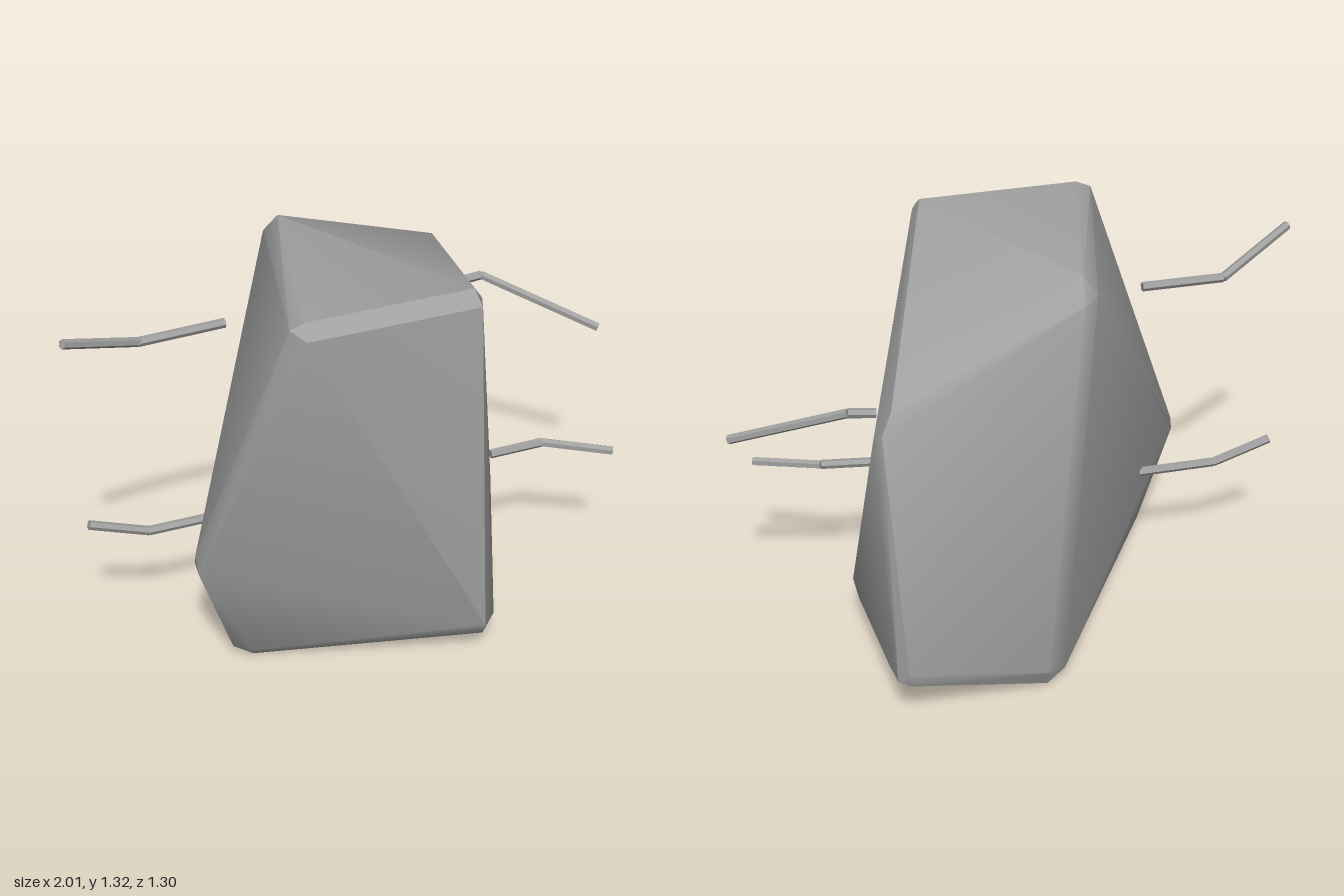
import * as THREE from 'three';
import { ConvexGeometry } from 'three/addons/geometries/ConvexGeometry.js';
import { toCreasedNormals } from 'three/addons/utils/BufferGeometryUtils.js';

const stone = new THREE.MeshStandardMaterial({ name: 'stone grey', color: 0xa0a0a0 });

// Each corner of the boulder is a small cluster of points, which bevels it.
const corners = {
  topFrontRight: [[-0.36, 1.32, 0.47], [-0.38, 1.28, 0.52], [-0.41, 1.3, 0.46]],
  topFrontLeft: [[0.2, 1.32, 0.495], [0.2, 1.28, 0.55], [0.225, 1.285, 0.5]],
  topBack: [[-0.12, 1.32, -0.26], [-0.1, 1.25, -0.335], [-0.16, 1.26, -0.29]],
  backLeftShoulder: [[0.56, 1.04, -0.43], [0.6, 0.98, -0.465], [0.62, 0.95, -0.43]],
  backLeftFoot: [[0.59, 0.21, -0.655], [0.62, 0.18, -0.63], [0.585, 0.16, -0.64]],
  leftFoot: [[0.62, 0.2, -0.05], [0.61, 0.14, -0.08]],
  leftBase: [[0.57, 0.01, -0.31], [0.54, 0.003, -0.3]],
  backBase: [[0.1, 0.07, -0.6], [0.1, 0.01, -0.575], [0.03, 0.04, -0.55]],
  frontFoot: [[0.2, 0.14, 0.65], [0.22, 0.07, 0.6], [0.26, 0.14, 0.6]],
  rightBase: [[-0.48, 0, 0.28], [-0.54, 0.03, 0.25], [-0.5, 0.03, 0.3]],
  rightPoint: [[-0.67, 0.39, 0.3], [-0.66, 0.44, 0.25], [-0.66, 0.4, 0.24]],
};

// Bent rods: inner end, kink, outer end.
const rods = {
  upperRightRod: [[-0.43, 1.115, 0.005], [-0.72, 1.11, -0.005], [-1, 1.22, 0.1]],
  lowerRightRod: [[-0.43, 0.39, 0.005], [-0.72, 0.39, -0.015], [-0.92, 0.46, -0.035]],
  upperLeftRod: [[0.56, 0.935, -0.235], [0.65, 0.945, -0.225], [0.99, 0.775, 0.025]],
  lowerLeftRod: [[0.46, 0.49, 0.205], [0.65, 0.5, 0.23], [0.86, 0.48, 0.36]],
};

// Straight six-sided bar between two points
function bar(a, b, radius = 0.016) {
  const dir = b.clone().sub(a);
  const geo = toCreasedNormals(new THREE.CylinderGeometry(radius, radius, dir.length(), 6), 0.5);
  const mesh = new THREE.Mesh(geo, stone);
  mesh.position.copy(a).add(b).multiplyScalar(0.5);
  mesh.quaternion.setFromUnitVectors(new THREE.Vector3(0, 1, 0), dir.normalize());
  return mesh;
}

export function createModel() {
  const model = new THREE.Group();
  model.name = 'boulderWithRods';

  // Faceted boulder body, soft across shallow edges
  const points = Object.values(corners).flat().map((p) => new THREE.Vector3(...p));
  const boulder = new THREE.Mesh(toCreasedNormals(new ConvexGeometry(points), 0.6), stone);
  boulder.name = 'boulder';
  model.add(boulder);

  // Thin bent rods on both sides
  for (const [name, path] of Object.entries(rods)) {
    const [inner, kink, outer] = path.map((p) => new THREE.Vector3(...p));
    const rod = new THREE.Group();
    rod.name = name;
    const root = bar(inner, kink);
    root.name = 'rodRoot';
    const tip = bar(kink, outer);
    tip.name = 'rodTip';
    rod.add(root, tip);
    model.add(rod);
  }
  return model;
}
